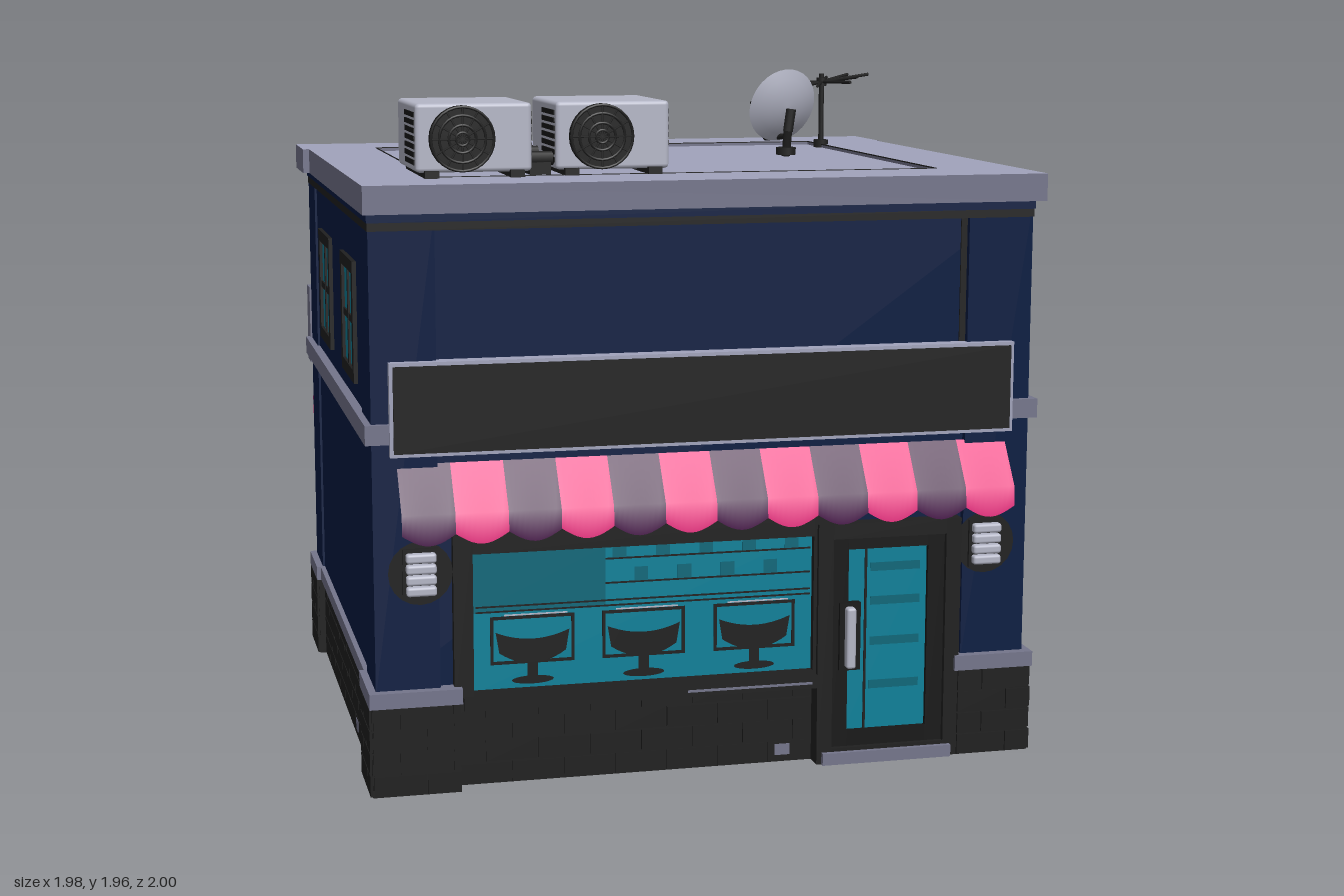
import * as THREE from 'three';
import { RoundedBoxGeometry } from 'three/addons/geometries/RoundedBoxGeometry.js';

const material = (name, color) => Object.assign(new THREE.MeshStandardMaterial({ color }), { name });
const M = {
  navy: material('navy wall', 0x041a41), stone: material('light stone', 0xa1a3bb),
  edge: material('grey stone edge', 0x74758b), dark: material('dark frame', 0x1f1f1f),
  black: material('black', 0x171717), pink: material('pink cloth', 0xe62c7e),
  purple: material('purple cloth', 0x450a47), glass: material('teal glass', 0x0a8099),
  deepGlass: material('deep teal', 0x0a6779), pale: material('pale metal', 0xb4b6c6),
};
M.pink.side = M.purple.side = M.pale.side = THREE.DoubleSide;

function add(parent, name, geometry, mat) {
  const mesh = new THREE.Mesh(geometry, mat);
  mesh.name = name;
  parent.add(mesh);
  return mesh;
}
function group(parent, name, x = 0, y = 0, z = 0) {
  const g = new THREE.Group();
  g.name = name;
  g.position.set(x, y, z);
  parent.add(g);
  return g;
}
// Box given by its limits on each axis
function box(parent, name, mat, x0, x1, y0, y1, z0, z1, round = 0) {
  const s = [x1 - x0, y1 - y0, z1 - z0];
  const geo = round ? new RoundedBoxGeometry(...s, 2, round) : new THREE.BoxGeometry(...s);
  add(parent, name, geo, mat).position.set((x0 + x1) / 2, (y0 + y1) / 2, (z0 + z1) / 2);
}
// Straight round bar between two points
function rod(parent, name, mat, a, b, r, sides = 8) {
  const p = new THREE.Vector3(...a), q = new THREE.Vector3(...b), d = q.clone().sub(p);
  const mesh = add(parent, name, new THREE.CylinderGeometry(r, r, d.length(), sides), mat);
  mesh.position.copy(p).add(q).multiplyScalar(0.5);
  mesh.quaternion.setFromUnitVectors(new THREE.Vector3(0, 1, 0), d.normalize());
}
// Rectangular frame of four bars facing z
function frame(parent, name, mat, x0, x1, y0, y1, z0, z1, w) {
  for (const x of [x0, x1 - w]) box(parent, name, mat, x, x + w, y0, y1, z0, z1);
  for (const y of [y0, y1 - w]) box(parent, name, mat, x0 + w, x1 - w, y, y + w, z0, z1);
}
// Cloth strip: place(u, row) gives the point across the strip on rows 0, 1, 2
function cloth(parent, mat, place) {
  const geo = new THREE.PlaneGeometry(1, 1, 10, 2), p = geo.attributes.position;
  for (let i = 0; i < p.count; i++) p.setXYZ(i, ...place((i % 11) / 10, Math.floor(i / 11)));
  geo.computeVertexNormals();
  add(parent, 'awningStripe', geo, mat);
}

function buildShell(root) {
  const g = group(root, 'building');
  box(g, 'wallCore', M.navy, -0.957, 0.93, 0.28, 1.63, -0.755, 0.89);
  for (const [x0, x1] of [[-0.964, -0.783], [0.746, 0.937]]) {
    box(g, 'backPilaster', M.navy, x0, x1, 0.28, 1.625, -0.775, -0.57);
    box(g, 'frontPilaster', M.navy, x0, x1, 0.28, 1.625, 0.7, 0.912);
  }
  // Moulding with a dark line under the roof edge
  box(g, 'moulding', M.navy, -0.968, 0.941, 1.598, 1.625, -0.785, 0.92);
  box(g, 'mouldingShadowLine', M.dark, -0.966, 0.939, 1.575, 1.6, -0.78, 0.916);
  box(g, 'wallSeam', M.dark, 0.728, 0.748, 1.22, 1.575, 0.885, 0.895);
  // Roof edge with a shallow sunken floor
  const points = list => list.map(p => new THREE.Vector2(...p));
  const s = new THREE.Shape(points([[-0.98, -0.945], [0.965, -0.945], [0.965, 0.56], [0.975, 0.56], [0.975, 0.82],
    [-1, 0.82], [-1, 0.56], [-0.98, 0.56]]));
  s.holes.push(new THREE.Path(points([[-0.76, -0.7], [-0.76, 0.57], [0.72, 0.57], [0.72, -0.7]])));
  const roof = add(g, 'roofEdge', new THREE.ExtrudeGeometry(s, { depth: 0.078, bevelEnabled: false }), [M.stone, M.edge]);
  roof.rotation.x = -Math.PI / 2;
  roof.position.y = 1.622;
  box(g, 'roofFloor', M.stone, -0.8, 0.76, 1.64, 1.69, -0.6, 0.74);
  const seam = group(g, 'roofSeam', 0, 1.699, 0);
  seam.rotation.x = -Math.PI / 2;
  frame(seam, 'roofSeamLine', M.dark, -0.762, 0.722, -0.702, 0.572, 0, 0.003, 0.004);
  // Storey band and corner blocks at the rear
  box(g, 'storeyBand', M.edge, -0.983, 0.958, 0.995, 1.05, -0.795, 0.93);
  box(g, 'rearBand', M.edge, -0.84, 0.835, 0.985, 1.05, -0.862, -0.75);
  for (const x of [-0.97, 0.84]) box(g, 'rearCornerBlock', M.edge, x, x + 0.115, 0.965, 1.22, -0.858, -0.77);
  // Plinth with stone capping
  box(g, 'plinth', M.dark, -0.952, 0.926, 0, 0.258, -0.76, 0.875);
  box(g, 'plinthCap', M.edge, -0.972, 0.947, 0.258, 0.3, -0.788, 0.88);
  for (const [x0, x1, c0, c1] of [[-0.978, -0.73, -0.985, -0.725], [0.73, 0.953, 0.72, 0.96]]) {
    for (const [side, z0, z1] of [['front', 0.7, 0.93], ['back', -0.79, -0.57]]) {
      box(g, side + 'PlinthCorner', M.dark, x0, x1, 0, 0.258, z0, z1);
      box(g, side + 'CornerCap', M.edge, c0, c1, 0.256, 0.3, z0 - 0.01, z1 + 0.01);
    }
  }
}

// Staggered bricks along one stretch of plinth; axis is the direction of the run
function brickRun(parent, axis, from, to, face, out) {
  const len = 0.15, h = 0.064, gap = 0.005;
  const put = (name, mat, a0, a1, y0, y1, t) => {
    const f0 = Math.min(face, face + out * t), f1 = Math.max(face, face + out * t);
    box(parent, name, mat, ...(axis === 'x' ? [a0, a1, y0, y1, f0, f1] : [f0, f1, y0, y1, a0, a1]));
  };
  for (let row = 0; row < 4; row++) {
    for (let a = from - (row % 2) * len / 2, i = 0; a < to; a += len, i++) {
      const a0 = Math.max(a, from) + gap / 2, a1 = Math.min(a + len, to) - gap / 2, y = row * h;
      if (a1 - a0 < 0.015) continue;
      put('brick', M.dark, a0, a1, y + gap / 2, y + h - gap / 2, 0.008);
      // Occasional worn chip
      if ((i * 5 + row * 3) % 13 === 4 && a1 - a0 > 0.1) put('wornChip', M.edge, a0 + 0.02, a0 + 0.065, y + 0.022, y + 0.055, 0.0095);
    }
  }
}
function buildBricks(root) {
  const g = group(root, 'bricks');
  brickRun(g, 'x', -0.73, 0.3, 0.874, 1);
  brickRun(g, 'x', -0.73, 0.73, -0.759, -1);
  for (const [x0, x1] of [[-0.978, -0.73], [0.73, 0.953]]) {
    brickRun(g, 'x', x0, x1, 0.929, 1);
    brickRun(g, 'x', x0, x1, -0.789, -1);
  }
  for (const [inner, outer, s] of [[0.925, 0.952, 1], [-0.951, -0.977, -1]]) {
    brickRun(g, 'z', -0.57, 0.7, inner, s);
    brickRun(g, 'z', -0.79, -0.57, outer, s);
    brickRun(g, 'z', 0.7, 0.93, outer, s);
  }
}

function buildShopFront(root) {
  const g = group(root, 'shopFront');
  // Display window
  box(g, 'displayGlass', M.glass, -0.7, 0.31, 0.265, 0.69, 0.885, 0.894);
  frame(g, 'displayFrame', M.dark, -0.745, 0.35, 0.225, 0.73, 0.87, 0.916, 0.055);
  box(g, 'displaySill', M.dark, -0.72, 0.31, 0.23, 0.268, 0.88, 0.932);
  box(g, 'sillWornEdge', M.edge, -0.08, 0.29, 0.243, 0.25, 0.925, 0.934);
  const z = 0.8945;
  const plate = (name, mat, x0, x1, y0, y1, t) => box(g, name, mat, x0, x1, y0, y1, z - 0.003, z + t);
  plate('backShelving', M.deepGlass, -0.69, -0.31, 0.5, 0.675, 0.0005);
  for (const y of [0.5, 0.515, 0.565, 0.635]) plate('shelf', M.dark, y < 0.53 ? -0.68 : -0.31, 0.29, y, y + 0.005, 0.001);
  for (let i = 0; i < 9; i++) plate('shelfItem', M.deepGlass, -0.29 + i * 0.063, -0.25 + i * 0.063, i % 2 ? 0.57 : 0.64, i % 2 ? 0.61 : 0.675, 0.001);
  // Seats seen behind the glass
  const bowl = new THREE.Shape();
  bowl.moveTo(-0.105, 0.055).quadraticCurveTo(0, 0.01, 0.105, 0.055).lineTo(0.095, -0.005).quadraticCurveTo(0, -0.07, -0.095, -0.005);
  for (const cx of [-0.52, -0.2, 0.125]) {
    frame(g, 'seatBackOutline', M.dark, cx - 0.12, cx + 0.12, 0.35, 0.488, z, z + 0.002, 0.009);
    plate('seatBackHighlight', M.pale, cx - 0.08, cx + 0.1, 0.489, 0.493, 0.002);
    add(g, 'seat', new THREE.ShapeGeometry(bowl), M.dark).position.set(cx, 0.388, z + 0.003);
    plate('seatStem', M.dark, cx - 0.015, cx + 0.015, 0.3, 0.37, 0.002);
    const foot = add(g, 'seatFoot', new THREE.CircleGeometry(0.06, 20), M.dark);
    foot.position.set(cx, 0.302, z + 0.002);
    foot.scale.y = 0.2;
  }
  // Door
  box(g, 'doorGlass', M.glass, 0.39, 0.65, 0.08, 0.64, 0.885, 0.902);
  frame(g, 'doorFrame', M.dark, 0.305, 0.735, 0, 0.71, 0.87, 0.93, 0.045);
  frame(g, 'doorLeaf', M.black, 0.348, 0.692, 0.04, 0.682, 0.88, 0.915, 0.052);
  for (const y of [0.21, 0.34, 0.46, 0.56]) box(g, 'doorShelf', M.deepGlass, 0.47, 0.62, y, y + 0.025, 0.9, 0.904);
  box(g, 'doorMullion', M.dark, 0.452, 0.459, 0.09, 0.63, 0.9, 0.905);
  box(g, 'handlePlate', M.black, 0.372, 0.435, 0.275, 0.475, 0.9, 0.925);
  box(g, 'doorHandle', M.pale, 0.387, 0.415, 0.285, 0.465, 0.92, 0.952, 0.008);
  box(g, 'doorStep', M.edge, 0.32, 0.71, 0, 0.035, 0.85, 0.945);
  // Blank sign board
  box(g, 'signFrame', M.stone, -0.916, 0.879, 0.96, 1.22, 0.88, 0.938);
  box(g, 'signPanel', M.dark, -0.906, 0.869, 0.97, 1.21, 0.93, 0.943);
  // Striped awning
  const w = 1.763 / 12, zs = [0.905, 0.995, 1];
  for (let i = 0; i < 12; i++) cloth(g, i % 2 ? M.pink : M.purple, (u, r) => [-0.895 + (i + u) * w,
    r === 2 ? 0.755 - 0.03 * Math.sin(Math.PI * u) : [0.935, 0.81][r], zs[r]]);
  // Ribbed wall lamps on sooty patches
  for (const cx of [-0.835, 0.812]) {
    const soot = add(g, 'sootPatch', new THREE.CircleGeometry(0.09, 20), M.dark);
    soot.position.set(cx, 0.63, 0.9135);
    box(g, 'lampPlate', M.dark, cx - 0.05, cx + 0.05, 0.56, 0.7, 0.905, 0.922);
    for (let i = 0; i < 4; i++) box(g, 'lampRib', M.pale, cx - 0.042, cx + 0.042, 0.57 + i * 0.031, 0.597 + i * 0.031, 0.915, 0.945, 0.008);
  }
}

// Awning returns at the two rear corners
function buildRearAwnings(root) {
  const g = group(root, 'rearAwnings');
  for (const side of [-1, 1]) [M.purple, M.pink].forEach((mat, i) => cloth(g, mat, (u, r) => {
    const t = (i + u) / 2, y = [0.935 - 0.125 * t, 0.81, 0.755 - 0.03 * Math.sin(Math.PI * u)][r];
    return [side * (r ? 0.935 : 0.9 + 0.035 * t) - 0.01, y, -0.772 - 0.228 * t];
  }));
}

function buildSideWindows(root) {
  for (const side of [-1, 1]) for (const cz of [0.395, -0.26]) {
    const g = group(root, 'sideWindow', side > 0 ? 0.93 : -0.957, 1.28, cz);
    g.rotation.y = side * Math.PI / 2;
    frame(g, 'windowFrame', M.dark, -0.162, 0.162, -0.175, 0.175, -0.01, 0.012, 0.036);
    box(g, 'windowGlass', M.glass, -0.13, 0.13, -0.145, 0.145, -0.01, 0.003);
    box(g, 'windowBarUpright', M.dark, -0.01, 0.01, -0.14, 0.14, 0, 0.009);
    box(g, 'windowBarCross', M.dark, -0.13, 0.13, -0.01, 0.01, 0, 0.008);
  }
}

function buildDrain(root) {
  const g = group(root, 'drainPipe');
  const bend = [[0.958, 0.6, 0.735], [0.958, 0.88, 0.735], [0.958, 0.925, 0.75], [0.95, 0.93, 0.785]].map(p => new THREE.Vector3(...p));
  rod(g, 'lowerPipe', M.edge, [0.965, 0, 0.725], [0.965, 0.46, 0.725], 0.014, 12);
  add(g, 'upperPipe', new THREE.TubeGeometry(new THREE.CatmullRomCurve3(bend, false, 'catmullrom', 0.2), 24, 0.018, 10), M.edge);
  box(g, 'junctionBox', M.edge, 0.925, 0.982, 0.45, 0.62, 0.68, 0.777, 0.01);
  for (const y of [0.4, 0.66]) box(g, 'pipeClip', M.dark, 0.93, 0.972, y, y + 0.015, 0.708, 0.758);
}

function buildAirUnits(root) {
  for (const [cx, cz] of [[-0.643, 0.545], [-0.243, 0.515]]) {
    const g = group(root, 'airUnit', cx, 1.7, cz);
    box(g, 'casing', M.pale, -0.163, 0.163, 0.015, 0.205, -0.185, 0.185, 0.012);
    for (const x of [-0.12, 0.12]) box(g, 'foot', M.dark, x - 0.02, x + 0.02, 0, 0.02, -0.2, 0.2);
    // Bulging fan cage on front and back, offset toward one end
    for (const s of [-1, 1]) {
      const fan = group(g, 'fan', -0.035, 0.108, s * 0.186);
      if (s < 0) fan.rotation.y = Math.PI;
      rod(fan, 'fanCage', M.black, [0, 0, -0.01], [0, 0, 0.016], 0.092, 28);
      for (const r of [0.088, 0.065, 0.038, 0.018]) add(fan, 'fanRing', new THREE.TorusGeometry(r, 0.004, 6, 28), M.dark).position.z = 0.018;
      for (let i = 0; i < 6; i++) {
        const x = Math.cos(i * Math.PI / 6) * 0.088, y = Math.sin(i * Math.PI / 6) * 0.088;
        rod(fan, 'fanSpoke', M.dark, [-x, -y, 0.018], [x, y, 0.018], 0.003, 5);
      }
      // Side louvres
      for (let i = 0; i < 7; i++) box(g, 'louvre', M.black, s * 0.163 - 0.003, s * 0.163 + 0.003, 0.035 + i * 0.022, 0.049 + i * 0.022, -0.02, 0.165);
    }
  }
  for (const z of [0.42, 0.65]) rod(root, 'airUnitPipe', M.dark, [-0.5, 1.745, z], [-0.39, 1.745, z], 0.02);
  box(root, 'airUnitDuct', M.dark, -0.475, -0.415, 1.7, 1.735, 0.4, 0.67);
}

function buildAerials(root) {
  // Satellite dish
  const d = group(root, 'satelliteDish', 0.01, 0, 0);
  const profile = [0, 0.03, 0.06, 0.09, 0.12].map(r => new THREE.Vector2(r, r * r * 2.4));
  const dish = add(d, 'dish', new THREE.LatheGeometry(profile, 32), M.pale);
  dish.position.set(0.475, 1.84, -0.025);
  dish.quaternion.setFromUnitVectors(new THREE.Vector3(0, 1, 0), new THREE.Vector3(-0.29, 0.32, -1).normalize());
  for (const [name, a, b, r] of [['dishFoot', [0.475, 1.695, -0.04], [0.475, 1.718, -0.04], 0.032],
    ['dishPost', [0.475, 1.69, -0.04], [0.475, 1.78, -0.02], 0.014], ['dishBracket', [0.475, 1.77, -0.02], [0.485, 1.84, -0.02], 0.016],
    ['dishArm', [0.475, 1.755, -0.03], [0.445, 1.74, -0.17], 0.009], ['dishArm', [0.445, 1.74, -0.17], [0.435, 1.83, -0.23], 0.009],
    ['receiver', [0.437, 1.82, -0.222], [0.433, 1.855, -0.24], 0.022]]) rod(d, name, M.dark, a, b, r, 12);
  // Aerial with spread rods
  const a = group(root, 'aerial', 0.725, 1.7, -0.435);
  for (const [name, y0, y1, r] of [['mast', -0.02, 0.235, 0.009], ['mastFoot', -0.01, 0.015, 0.026], ['mastHead', 0.195, 0.222, 0.017]]) rod(a, name, M.dark, [0, y0, 0], [0, y1, 0], r);
  [0.16, 0.13, 0.19, 0.12, 0.16, 0.14, 0.17, 0.12, 0.15, 0.13].forEach((r, i) => {
    const t = i * Math.PI / 5 + 0.1;
    rod(a, 'aerialRod', M.dark, [0, 0.208, 0], [Math.cos(t) * r, 0.208 + 0.025 * Math.cos(t), Math.sin(t) * r], 0.0055, 6);
  });
}

export function createModel() {
  const root = new THREE.Group();
  root.name = 'cornerShop';
  for (const build of [buildShell, buildBricks, buildShopFront, buildRearAwnings, buildSideWindows, buildDrain, buildAirUnits, buildAerials]) build(root);
  return root;
}
